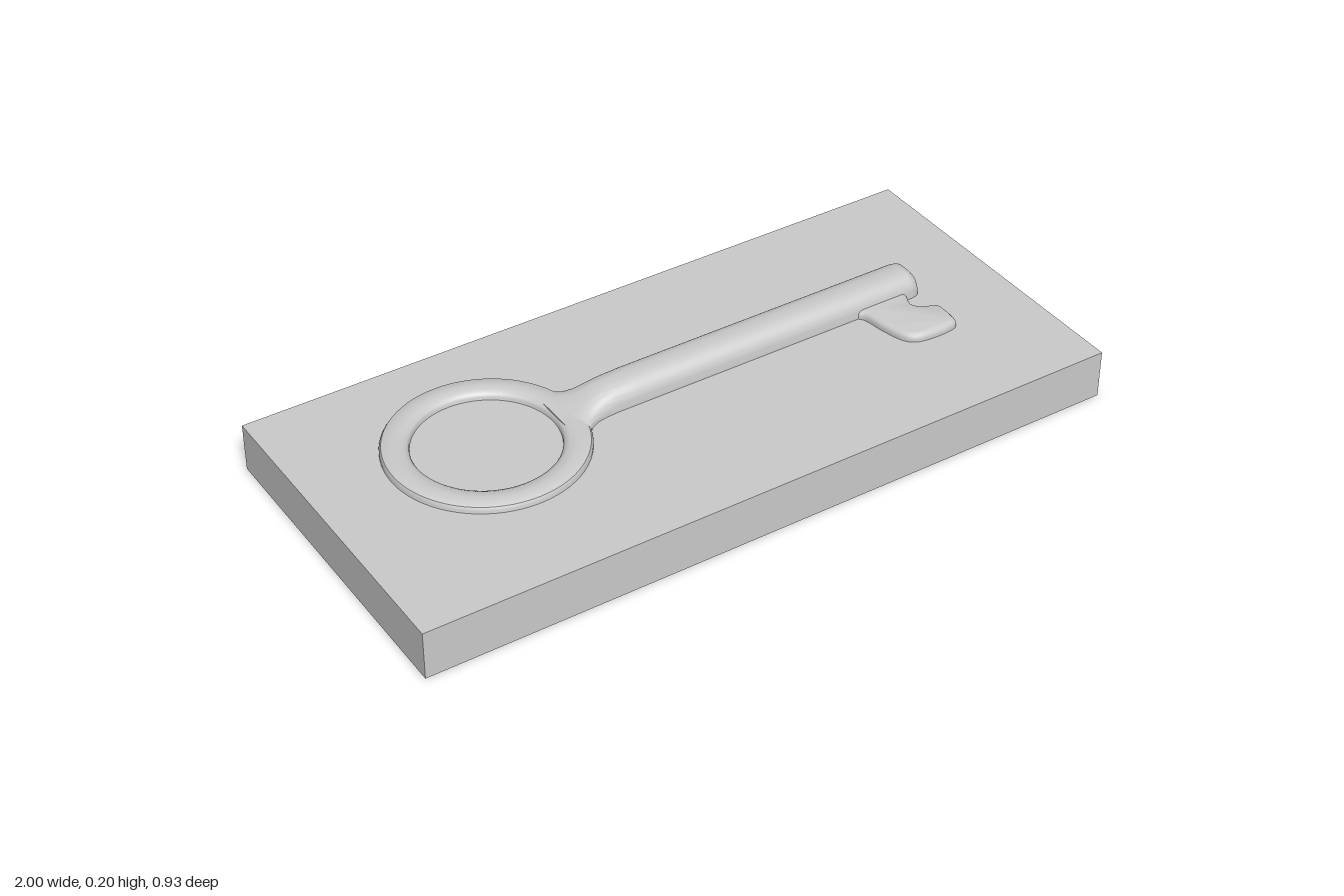
import * as THREE from 'three';
import { toCreasedNormals } from 'three/addons/utils/BufferGeometryUtils.js';

const TOP = 0.137;      // upper face of the slab
const AXIS = -0.06;     // z of the key's centre line

// Loft of half-round sections along x: [x, half width, height]
function loftAlongX(sections, steps = 24) {
  const pos = [], index = [];
  for (const [x, w, h] of sections) {
    for (let j = 0; j <= steps; j++) {
      const t = (j / steps) * Math.PI, c = Math.cos(t), s = Math.max(0, Math.sin(t));
      pos.push(x, h * Math.pow(s, 0.85), w * Math.sign(c) * Math.pow(Math.abs(c), 0.75));
    }
  }
  const row = steps + 1;
  for (let i = 0; i < sections.length - 1; i++) {
    for (let j = 0; j < steps; j++) {
      const a = i * row + j, b = a + row;
      index.push(a, b, a + 1, b, b + 1, a + 1);
    }
  }
  const g = new THREE.BufferGeometry();
  g.setAttribute('position', new THREE.Float32BufferAttribute(pos, 3));
  g.setIndex(index);
  return toCreasedNormals(g, 0.7);
}

export function createModel() {
  const group = new THREE.Group();
  const material = new THREE.MeshStandardMaterial({ color: 0xcccccc });
  const add = (name, geometry, x, y, z) => {
    const mesh = new THREE.Mesh(geometry, material);
    mesh.name = name;
    mesh.position.set(x, y, z);
    group.add(mesh);
  };

  // Slab
  add('slab', new THREE.BoxGeometry(2, TOP, 0.93), 0, TOP / 2, 0);

  // Ring handle: flat band with rounded edges
  const profile = [
    [0.265, -0.005], [0.265, 0.008], [0.26, 0.016], [0.248, 0.021], [0.228, 0.023],
    [0.206, 0.021], [0.195, 0.015], [0.191, 0.008], [0.19, -0.005],
  ].map(([r, y]) => new THREE.Vector2(r, y));
  add('ringHandle', toCreasedNormals(new THREE.LatheGeometry(profile, 72), 0.6), -0.53, TOP, AXIS);

  // Shaft, flaring into the ring at one end and rounded off at the other
  const shaft = loftAlongX([
    [-0.335, 0, 0], [-0.335, 0.165, 0.02], [-0.315, 0.135, 0.022], [-0.295, 0.105, 0.024],
    [-0.27, 0.08, 0.031], [-0.245, 0.067, 0.042], [-0.215, 0.062, 0.053], [-0.18, 0.06, 0.06],
    [-0.12, 0.06, 0.063], [0.735, 0.06, 0.063], [0.752, 0.057, 0.059], [0.76, 0.052, 0.05],
    [0.762, 0.046, 0.042], [0.762, 0, 0],
  ]);
  add('shaft', shaft, 0, TOP, AXIS);

  // Bit: notched plate beside the shaft, outline given as x, z
  const outline = [
    [0.572, 0.02], [0.582, 0.08], [0.6, 0.14], [0.63, 0.168], [0.69, 0.176], [0.745, 0.171],
    [0.76, 0.15], [0.762, 0.09], [0.745, 0.073], [0.718, 0.062], [0.704, 0.038], [0.715, 0.005],
  ].map(([x, z]) => new THREE.Vector2(x, -z));
  const shape = new THREE.Shape();
  shape.moveTo(0.55, 0.05);
  shape.lineTo(0.56, 0);
  shape.splineThru(outline);
  shape.lineTo(0.725, 0.05);
  const bit = new THREE.ExtrudeGeometry(shape, {
    depth: 0.02, bevelThickness: 0.014, bevelSize: 0.014, bevelOffset: -0.014,
    bevelSegments: 3, curveSegments: 36,
  });
  bit.rotateX(-Math.PI / 2);
  add('bit', toCreasedNormals(bit, 0.6), 0, TOP - 0.011, 0);

  return group;
}
